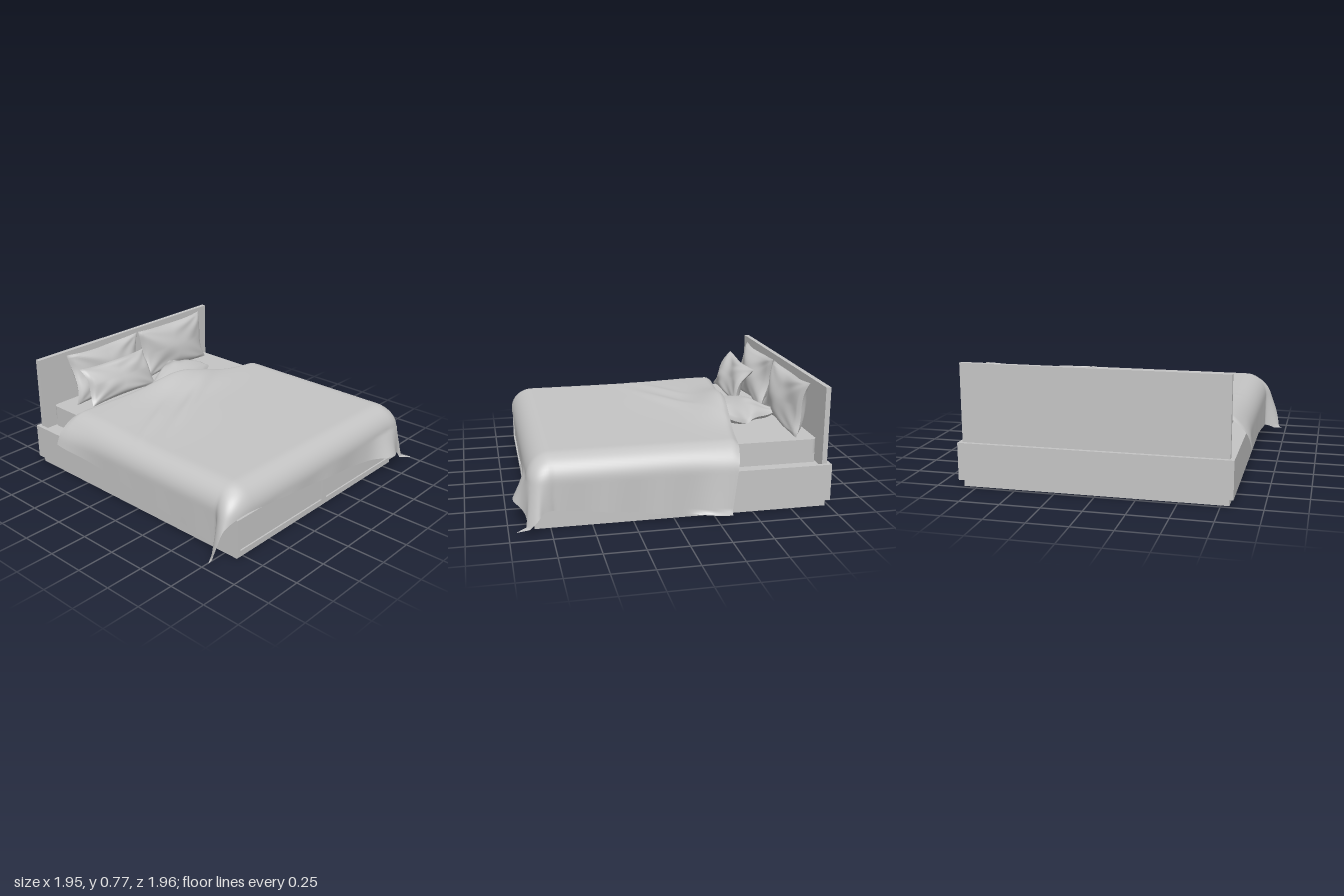
import * as THREE from 'three';
import { mergeGeometries } from 'three/addons/utils/BufferGeometryUtils.js';

const grey = new THREE.MeshStandardMaterial({ color: 0xc4c4c4 });
grey.name = 'plain grey';
const clothGrey = grey.clone();
clothGrey.name = 'cloth grey';
clothGrey.side = THREE.DoubleSide;

const gauss = (v, w) => Math.exp(-(v * v) / (w * w));
const lerp = THREE.MathUtils.lerp;

// Box given by its limits on each axis
function block(name, [x0, x1], [y0, y1], [z0, z1]) {
  const mesh = new THREE.Mesh(new THREE.BoxGeometry(x1 - x0, y1 - y0, z1 - z0), grey);
  mesh.position.set((x0 + x1) / 2, (y0 + y1) / 2, (z0 + z1) / 2);
  mesh.name = name;
  return mesh;
}

// Rectangle outline with optional rounded corners
function rectPath(path, x0, x1, y0, y1, r = 0) {
  path.moveTo(x0 + r, y0);
  path.lineTo(x1 - r, y0);
  if (r) path.absarc(x1 - r, y0 + r, r, -Math.PI / 2, 0);
  path.lineTo(x1, y1 - r);
  if (r) path.absarc(x1 - r, y1 - r, r, 0, Math.PI / 2);
  path.lineTo(x0 + r, y1);
  if (r) path.absarc(x0 + r, y1 - r, r, Math.PI / 2, Math.PI);
  path.lineTo(x0, y0 + r);
  if (r) path.absarc(x0 + r, y0 + r, r, Math.PI, Math.PI * 1.5);
  return path;
}

function extruded(name, shape, depth) {
  const geo = new THREE.ExtrudeGeometry(shape, { depth, bevelEnabled: false });
  const mesh = new THREE.Mesh(geo, grey);
  mesh.name = name;
  return mesh;
}

// Front board with two recessed drawer fronts
function drawerFront() {
  const shape = rectPath(new THREE.Shape(), -0.825, 0.86, 0.045, 0.28);
  for (const [a, b] of [[-0.8, -0.005], [0.04, 0.835]]) {
    shape.holes.push(rectPath(new THREE.Path(), a, b, 0.065, 0.255));
  }
  const mesh = extruded('drawerFront', shape, 0.01);
  mesh.position.z = 0.86;
  return mesh;
}

// Raised rim around the sunken frame floor
function frameRim() {
  const shape = rectPath(new THREE.Shape(), -0.825, 0.86, -0.86, 1);
  shape.holes.push(rectPath(new THREE.Path(), -0.8, 0.835, -0.84, 0.975));
  const mesh = extruded('frameRim', shape, 0.02);
  mesh.rotation.x = -Math.PI / 2;
  mesh.position.y = 0.26;
  return mesh;
}

function mattress() {
  const shape = rectPath(new THREE.Shape(), -0.71, 0.745, -0.75, 0.937, 0.03);
  const mesh = extruded('mattress', shape, 0.095);
  mesh.rotation.x = -Math.PI / 2;
  mesh.position.y = 0.32;
  return mesh;
}

// Pillow: two bulging sheets sharing a pinched outline with pointed corners
function pillow(name, w, h, thick, seed) {
  const sheet = (side) => {
    const geo = new THREE.PlaneGeometry(2, 2, 36, 28);
    if (side < 0) geo.rotateY(Math.PI);
    const p = geo.attributes.position;
    for (let i = 0; i < p.count; i++) {
      const u = p.getX(i), v = p.getY(i);
      const puff = Math.pow(Math.max(0, (1 - u * u) * (1 - v * v)), 0.45);
      // Creases fan out from the corners
      const angle = Math.atan2(1.15 - Math.abs(v), 1.15 - Math.abs(u));
      const crease = 0.1 * Math.sin(11 * angle + seed + side) * Math.hypot(u, v)
        + 0.06 * Math.sin(4 * u + 3 * v * side + seed * 2);
      const seam = 0.012 * Math.sin(4 * u + 3 * v + seed);
      p.setXYZ(i,
        u * w / 2 * (1 - 0.09 * (1 - v * v)),
        v * h / 2 * (1 - 0.1 * (1 - u * u)),
        side * thick / 2 * puff * (1 + crease) + seam);
    }
    geo.computeVertexNormals();
    return geo;
  };
  const mesh = new THREE.Mesh(mergeGeometries([sheet(1), sheet(-1)]), clothGrey);
  mesh.name = name;
  mesh.rotation.order = 'YXZ';
  return mesh;
}

// Blanket: a skewed flat cloth folded over the bed edges
function blanket() {
  const TOP = 0.45, R = 0.15, ARC = R * Math.PI / 2, MAX_DROP = 0.413;
  const LEFT = 0.735, RIGHT = -0.705, FOOT = 0.73;
  const geo = new THREE.PlaneGeometry(1, 1, 110, 96);
  const p = geo.attributes.position;
  for (let i = 0; i < p.count; i++) {
    const s = p.getX(i) + 0.5, t = 0.5 - p.getY(i);
    // Flat cloth position between its four corners
    const X = lerp(lerp(-0.98, 1.265, s), lerp(-1.2, 1.09, s), t);
    const Z = lerp(lerp(-0.69, -0.34, s), lerp(0.91, 1.17, s), t);
    const cx = Math.min(LEFT, Math.max(RIGHT, X)), cz = Math.min(FOOT, Z);
    const ex = X - cx, ez = Z - cz, d = Math.hypot(ex, ez);
    let x = cx, y = TOP, z = cz;
    if (d > 0) {
      // Rolls over the edge, hangs down, then spreads at the floor
      const dx = ex / d, dz = ez / d, a = Math.min(d, ARC) / R;
      const hang = Math.max(0, d - ARC);
      let out = R * Math.sin(a);
      let drop = R * (1 - Math.cos(a)) + hang;
      if (drop > MAX_DROP) {
        out += drop - MAX_DROP;
        drop = MAX_DROP;
      }
      // Flared head corners and gentle ripples along the hem
      out += gauss(t, 0.13) * (ex > 0 ? 0.11 : 0.24) * Math.max(0, d - 0.12);
      out += 0.04 * hang * Math.sin(19 * cz + 3 * dx) * Math.sin(15 * cx + 1);
      // Pointed wings at the two foot corners
      const corner = 2 * Math.abs(dx * dz);
      const wing = corner * Math.max(0, d - 0.1);
      const fold = 0.07 * corner * hang * Math.sin(9 * Math.atan2(dz, Math.abs(dx)));
      x += dx * out - dz * fold + (ex > 0 ? 0.22 : -0.42) * wing;
      z += dz * out + dx * fold + (ex > 0 ? 0.1 : 0) * wing;
      z += dz * 0.55 * hang * gauss(X - 0.68, 0.13);
      y -= drop;
    }
    // Hump over the covered pillow, raised head side and diagonal creases
    const flat = Math.max(0, 1 - d / 0.2);
    const line = Z + 0.2 + 0.5 * (X + 0.1);
    y += flat * (0.1 * gauss(X - 0.1, 0.32) * gauss(Z + 0.5, 0.17)
      + 0.035 * gauss(X + 0.4, 0.45) * gauss(Z + 0.55, 0.4)
      + 0.018 * gauss(line, 0.05) * gauss(X + 0.05, 0.35)
      + 0.01 * gauss(line + 0.16, 0.04) * gauss(X + 0.4, 0.25));
    // Turned-down head hem
    y -= 0.025 * flat * gauss(t, 0.012);
    p.setXYZ(i, x, y, z);
  }
  geo.computeVertexNormals();
  const mesh = new THREE.Mesh(geo, clothGrey);
  mesh.name = 'blanket';
  return mesh;
}

export function createModel() {
  const bed = new THREE.Group();
  bed.name = 'bed';

  // Frame and mattress
  bed.add(
    block('plinth', [-0.8, 0.835], [0, 0.05], [-0.975, 0.845]),
    block('frame', [-0.825, 0.86], [0.045, 0.26], [-1, 0.86]),
    frameRim(),
    drawerFront(),
    block('headboard', [-0.8, 0.835], [0.26, 0.77], [-0.975, -0.943]),
    block('mattressSupport', [-0.7, 0.735], [0.26, 0.32], [-0.93, 0.74]),
    mattress(),
  );

  // Bedding
  bed.add(blanket());
  const pillows = [
    // name, width, height, thickness, position, lean, turn
    ['backPillowRight', 0.64, 0.36, 0.13, [-0.28, 0.59, -0.855], -0.22, 0],
    ['backPillowLeft', 0.65, 0.36, 0.13, [0.375, 0.59, -0.855], -0.22, 0],
    ['frontPillow', 0.58, 0.27, 0.11, [-0.31, 0.575, -0.695], -0.5, -0.03],
    ['lyingPillow', 0.52, 0.33, 0.11, [0.18, 0.475, -0.575], -1.45, 0.55],
  ];
  pillows.forEach(([name, w, h, thick, pos, lean, turn], i) => {
    const mesh = pillow(name, w, h, thick, i * 1.7 + 0.6);
    mesh.position.set(...pos);
    mesh.rotation.x = lean;
    mesh.rotation.y = turn;
    bed.add(mesh);
  });
  return bed;
}
